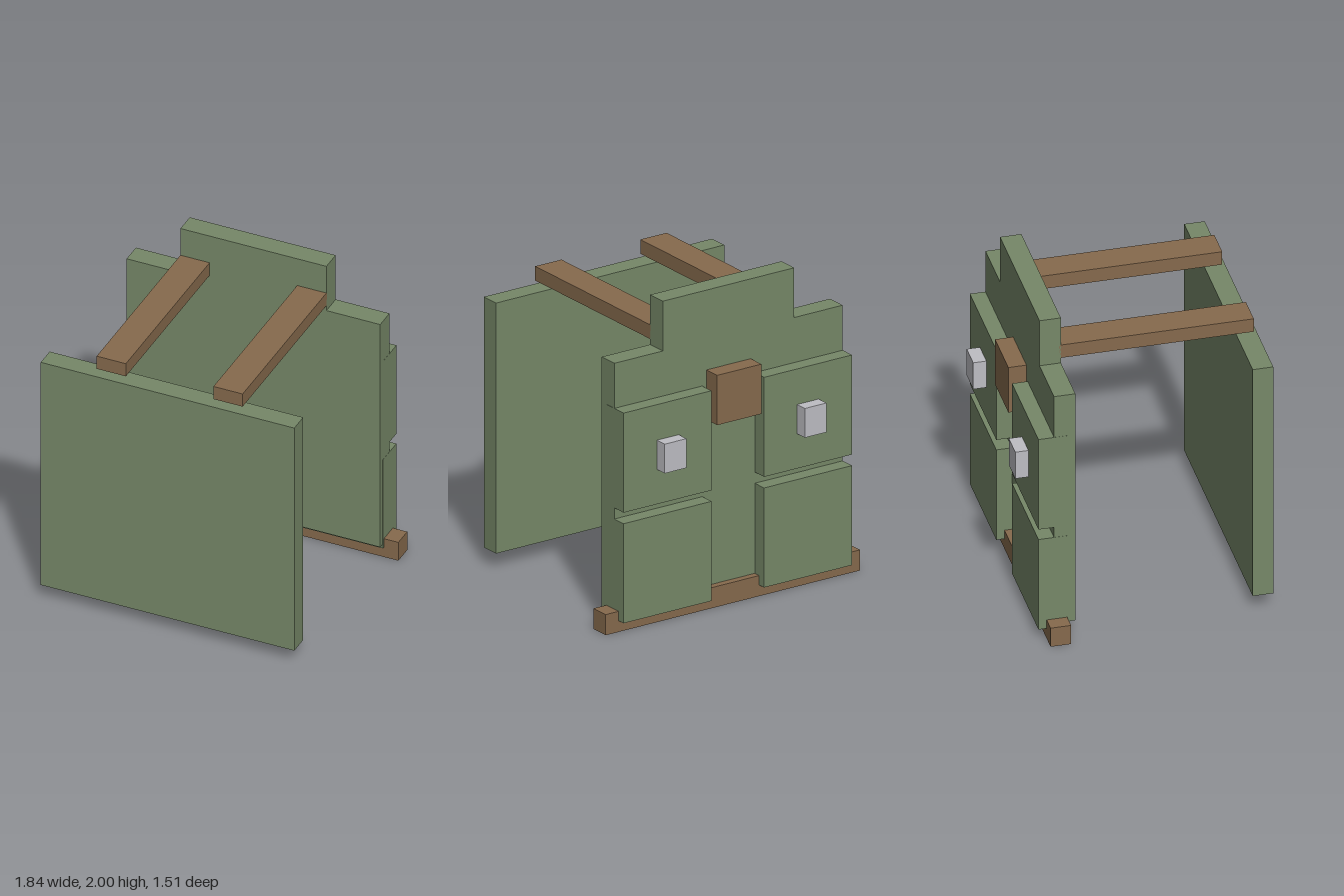
import * as THREE from 'three';

const green = new THREE.MeshStandardMaterial({ name: 'olive green', color: 0x768868 });
const brown = new THREE.MeshStandardMaterial({ name: 'leather brown', color: 0x866a4d });
const grey = new THREE.MeshStandardMaterial({ name: 'buckle grey', color: 0xbebec3 });

// Box given by its extents on each axis
function block(name, material, [x0, x1], [y0, y1], [z0, z1]) {
  const mesh = new THREE.Mesh(new THREE.BoxGeometry(x1 - x0, y1 - y0, z1 - z0), material);
  mesh.position.set((x0 + x1) / 2, (y0 + y1) / 2, (z0 + z1) / 2);
  mesh.name = name;
  return mesh;
}

// Back panel outline: wide body with a narrower raised collar
function backPanel() {
  const shape = new THREE.Shape([
    [-0.825, 0.1], [0.825, 0.1], [0.825, 1.685], [0.475, 1.685],
    [0.475, 2], [-0.475, 2], [-0.475, 1.685], [-0.825, 1.685],
  ].map(([x, y]) => new THREE.Vector2(x, y)));
  const mesh = new THREE.Mesh(
    new THREE.ExtrudeGeometry(shape, { depth: 0.13, bevelEnabled: false }), green);
  mesh.position.z = -0.58;
  mesh.name = 'backPanel';
  return mesh;
}

export function createModel() {
  const model = new THREE.Group();
  model.name = 'vest';

  // Main panels
  model.add(block('frontPanel', green, [-0.825, 0.825], [0.1, 1.685], [0.63, 0.755]));
  model.add(backPanel());

  // Belt and central back flap
  model.add(block('belt', brown, [-0.92, 0.92], [0, 0.13], [-0.625, -0.5]));
  model.add(block('backFlap', brown, [-0.16, 0.16], [1.18, 1.495], [-0.69, -0.57]));

  // Mirrored straps, pouches and buckles
  for (const [side, s] of [['left', 1], ['right', -1]]) {
    const span = (a, b) => (s > 0 ? [a, b] : [-b, -a]);
    model.add(block(side + 'ShoulderStrap', brown, span(0.285, 0.475), [1.72, 1.81], [-0.46, 0.725]));
    // Pouches run just short of the panel edge so their sides do not overlap it
    model.add(block(side + 'UpperPouch', green, span(0.19, 0.826), [0.77, 1.4], [-0.675, -0.5]));
    model.add(block(side + 'LowerPouch', green, span(0.19, 0.826), [0.07, 0.7], [-0.675, -0.485]));
    model.add(block(side + 'Buckle', grey, span(0.428, 0.585), [0.99, 1.175], [-0.755, -0.67]));
  }
  return model;
}
